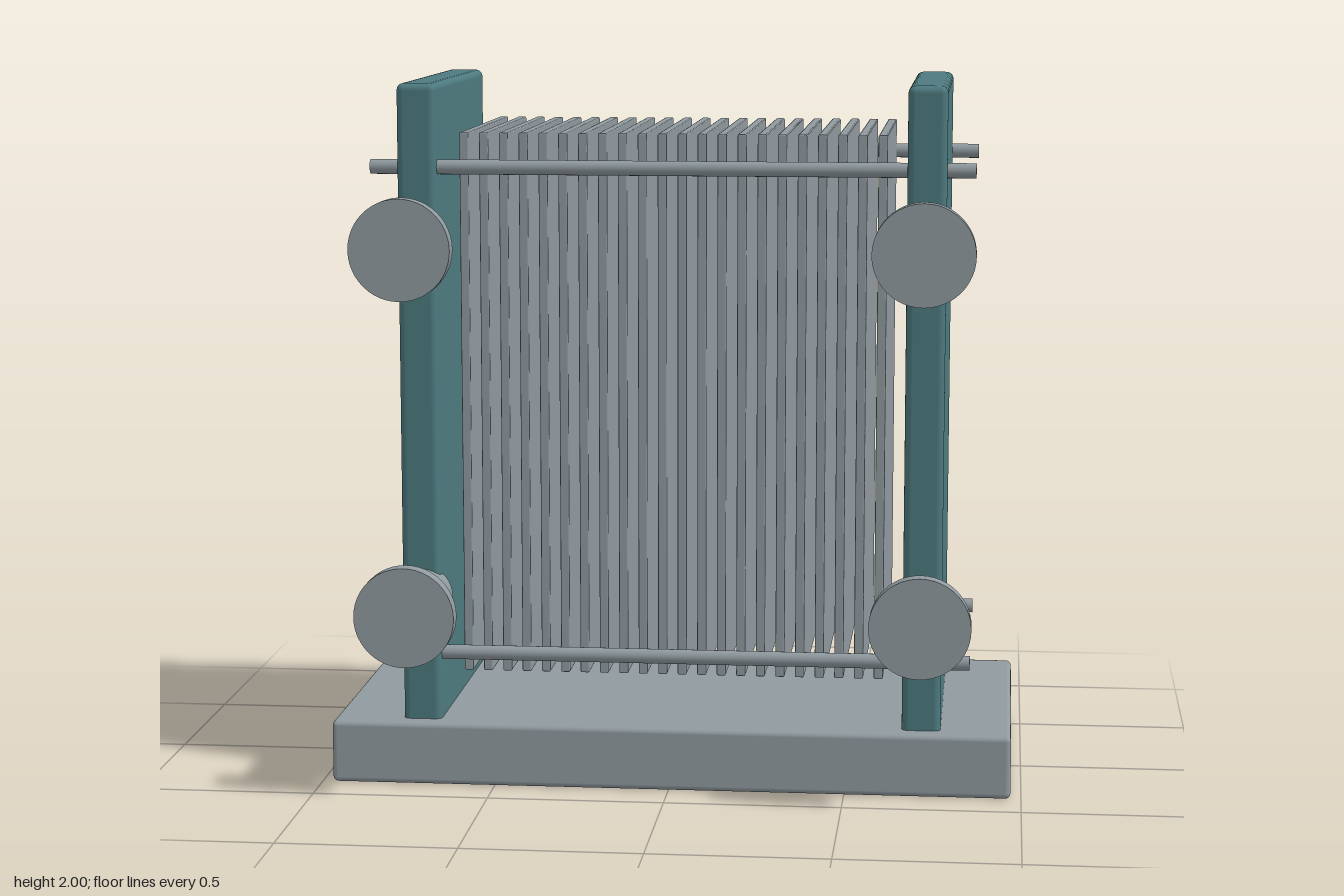
import * as THREE from 'three';
import { RoundedBoxGeometry } from 'three/addons/geometries/RoundedBoxGeometry.js';

export function createModel() {
  const model = new THREE.Group();
  model.name = 'plateHeatExchanger';
  const steel = new THREE.MeshStandardMaterial({ name: 'steel grey', color: 0x909a9f });
  const teal = new THREE.MeshStandardMaterial({ name: 'teal paint', color: 0x4d7a7f });

  const add = (name, geometry, material, x, y, z, parent = model) => {
    const mesh = new THREE.Mesh(geometry, material);
    mesh.name = name;
    mesh.position.set(x, y, z);
    parent.add(mesh);
    return mesh;
  };

  // Base slab
  add('base', new RoundedBoxGeometry(1.94, 0.18, 0.97, 3, 0.015), steel, 0, 0.09, -0.112);

  // Pressure plates at both ends
  const endGeo = new RoundedBoxGeometry(0.11, 1.84, 0.86, 3, 0.02);
  for (const side of [1, -1]) {
    add(side > 0 ? 'leftEndPlate' : 'rightEndPlate', endGeo, teal, side * 0.715, 1.08, -0.11);
  }

  // Pack of thin heat transfer plates
  const pack = new THREE.Group();
  pack.name = 'platePack';
  model.add(pack);
  const count = 22;
  const plateGeo = new RoundedBoxGeometry(0.026, 1.55, 0.74, 1, 0.004);
  for (let i = 0; i < count; i++) {
    add('plate', plateGeo, steel, -0.59 + (1.18 * i) / (count - 1), 1.085, -0.12, pack);
  }

  // Tie rods through the four corners
  const rodGeo = new THREE.CylinderGeometry(0.021, 0.021, 1.7, 20).rotateZ(Math.PI / 2);
  for (const y of [0.37, 1.765]) {
    for (const z of [0.28, -0.5]) add('tieRod', rodGeo, steel, 0, y, z);
  }

  // Pipe nozzles with flanges on the front edges
  const pipeGeo = new THREE.CylinderGeometry(0.085, 0.085, 0.28, 40).rotateX(Math.PI / 2);
  const flangeGeo = new THREE.CylinderGeometry(0.141, 0.141, 0.05, 48).rotateX(Math.PI / 2);
  for (const x of [-0.715, 0.715]) {
    for (const y of [0.535, 1.56]) {
      const nozzle = new THREE.Group();
      nozzle.name = 'nozzle';
      nozzle.position.set(x, y, 0);
      model.add(nozzle);
      add('pipe', pipeGeo, steel, 0, 0, 0.42, nozzle);
      add('flange', flangeGeo, steel, 0, 0, 0.573, nozzle);
    }
  }
  return model;
}
